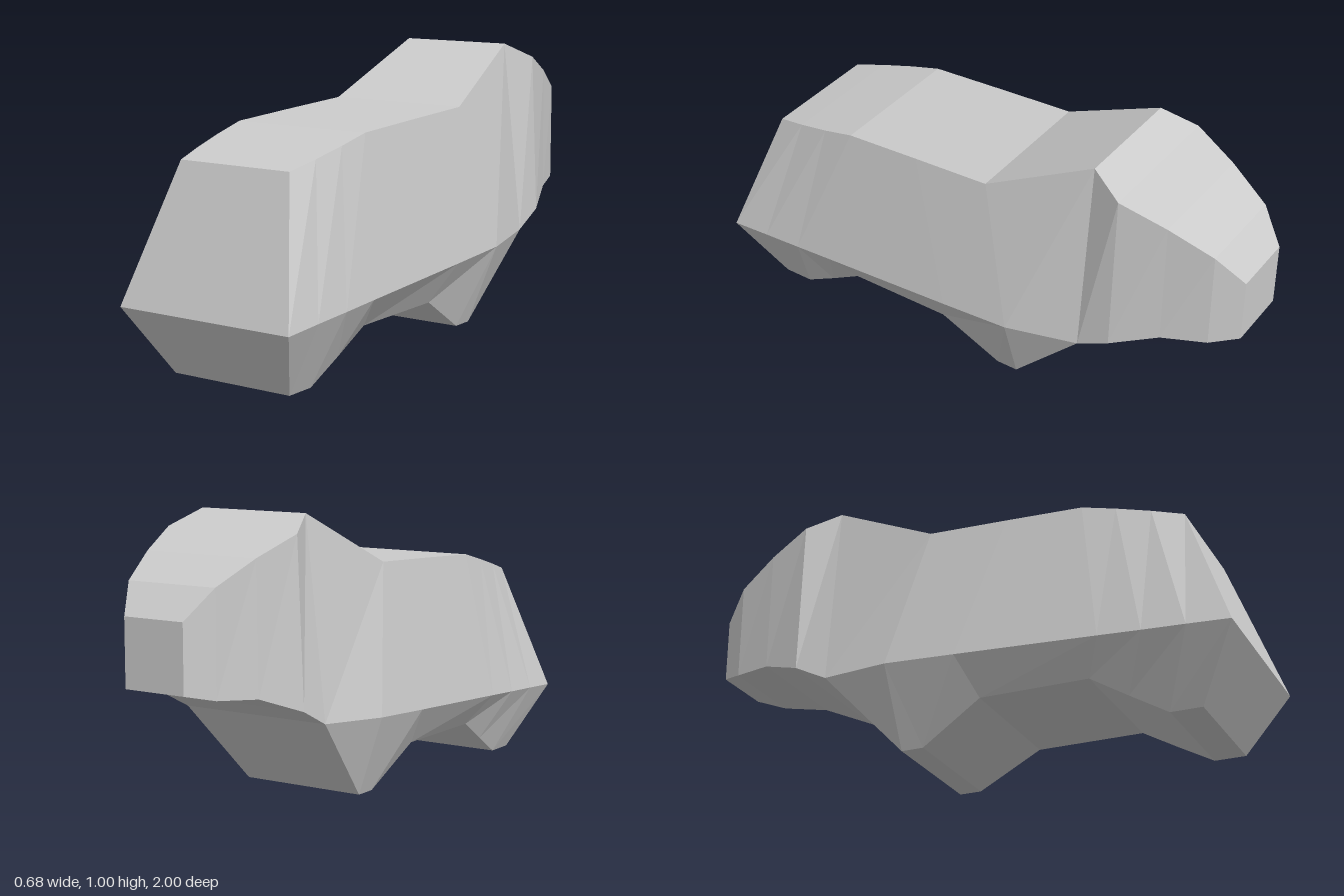
import * as THREE from 'three';

// Sections from front to back, each with three corners [z, y, half width]:
// top edge, widest line, underside edge.
const BODY = [
  [[0.83, 0.705, 0.22], [1, 0.235, 0.342], [0.86, 0, 0.235]],
  [[0.72, 0.732, 0.24], [0.85, 0.244, 0.342], [0.75, 0, 0.235]],
  [[0.6, 0.761, 0.254], [0.7, 0.252, 0.342], [0.62, 0.075, 0.248]],
  [[0.48, 0.79, 0.26], [0.55, 0.261, 0.342], [0.49, 0.153, 0.26]],
  [[0.2, 0.803, 0.26], [0.04, 0.29, 0.342], [0.1, 0.153, 0.26]],
  [[-0.09, 0.815, 0.26], [-0.22, 0.305, 0.34], [-0.12, 0.02, 0.235]],
  [[-0.09, 0.815, 0.26], [-0.22, 0.305, 0.34], [-0.2, 0.02, 0.235]],
];

// Raised tapering end: [z, top y, top half width, bottom y, bottom half width]
const TAPER = [
  [-0.48, 1.005, 0.21, 0.32, 0.285],
  [-0.6, 0.95, 0.26, 0.38, 0.285],
  [-0.76, 0.885, 0.218, 0.44, 0.224],
  [-0.91, 0.805, 0.172, 0.453, 0.172],
  [-1, 0.705, 0.116, 0.475, 0.116],
].map(([z, ty, tw, by, bw]) => [[z, ty, tw], [z, by, bw], [z, by, bw]]);

// Lofts mirrored sections into a closed faceted shell
function loft(sections) {
  const rings = sections.map((s) => {
    const left = s.map(([z, y, w]) => new THREE.Vector3(w, y, z));
    const right = s.map(([z, y, w]) => new THREE.Vector3(-w, y, z)).reverse();
    return [...left, ...right];
  });
  const pos = [];
  const tri = (a, b, c) => {
    const area = b.clone().sub(a).cross(c.clone().sub(a)).length();
    if (area > 1e-6) [a, b, c].forEach((p) => pos.push(p.x, p.y, p.z));
  };
  const quad = (a, b, c, d) => { tri(a, b, c); tri(a, c, d); };

  // Skin between neighbouring sections
  for (let i = 0; i < rings.length - 1; i++) {
    const p = rings[i], q = rings[i + 1];
    for (let k = 0; k < 6; k++) {
      const n = (k + 1) % 6;
      quad(p[n], q[n], q[k], p[k]);
    }
  }
  // Front and back end faces
  const f = rings[0], b = rings[rings.length - 1];
  quad(f[5], f[4], f[1], f[0]);
  quad(f[4], f[3], f[2], f[1]);
  quad(b[0], b[1], b[4], b[5]);

  const geo = new THREE.BufferGeometry();
  geo.setAttribute('position', new THREE.Float32BufferAttribute(pos, 3));
  geo.computeVertexNormals();
  return geo;
}

export function createModel() {
  const group = new THREE.Group();
  group.name = 'model';
  const material = new THREE.MeshStandardMaterial({ color: 0xcccccc, flatShading: true });
  const shell = new THREE.Mesh(loft([...BODY, ...TAPER]), material);
  shell.name = 'bodyShell';
  group.add(shell);
  return group;
}
